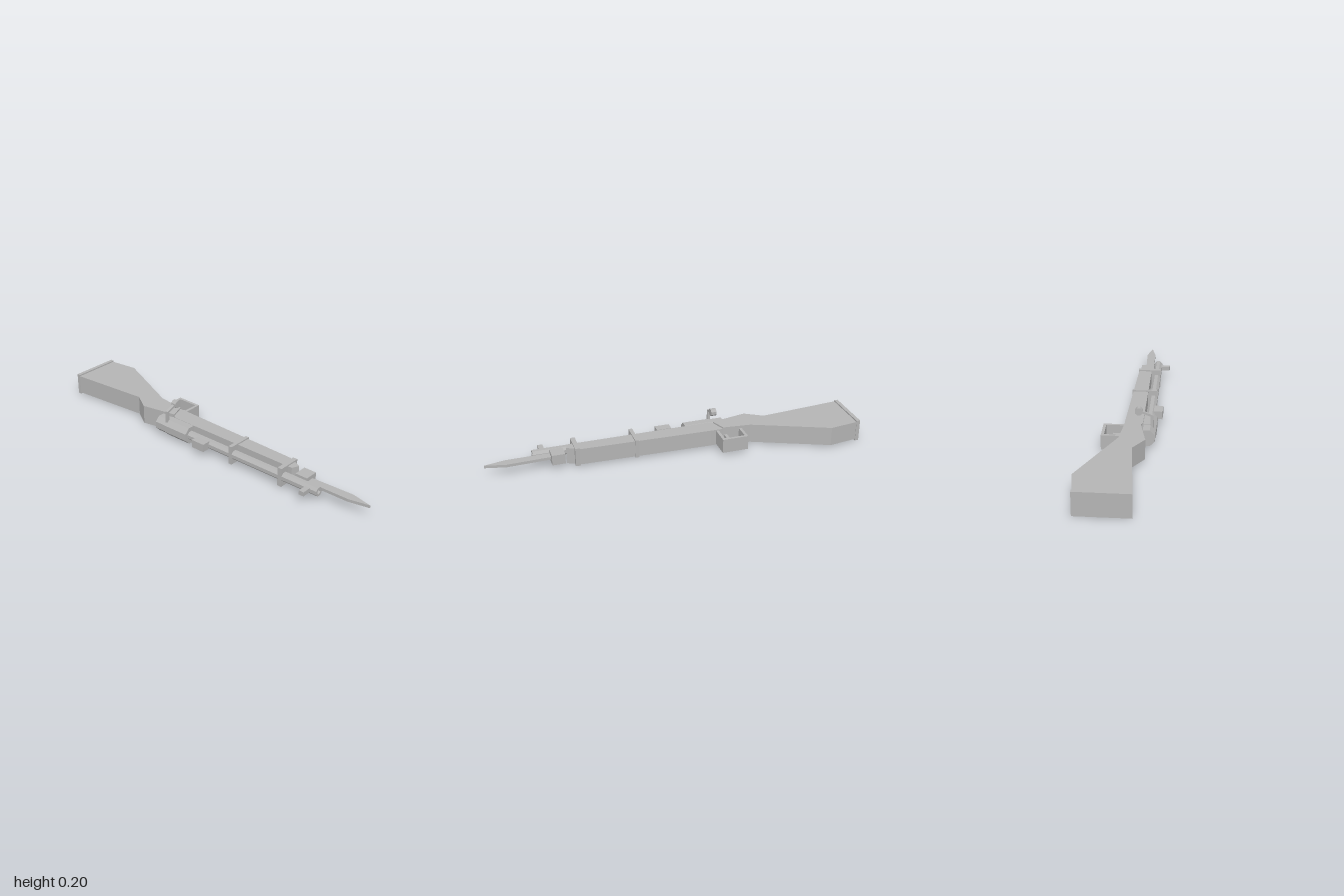
import * as THREE from 'three';

export function createModel() {
  const root = new THREE.Group();
  const grey = new THREE.MeshStandardMaterial({ color: 0xb4b4b4, flatShading: true });
  grey.name = 'plain grey';

  const add = (name, geo) => {
    const mesh = new THREE.Mesh(geo, grey);
    mesh.name = name;
    root.add(mesh);
    return mesh;
  };
  // Box from its limits
  const box = (name, x0, x1, y0, y1, z0, z1) =>
    add(name, new THREE.BoxGeometry(x1 - x0, y1 - y0, z1 - z0)
      .translate((x0 + x1) / 2, (y0 + y1) / 2, (z0 + z1) / 2));
  // Flat outline in x and z, given thickness from y0 to y1
  const slab = (name, pts, y0, y1, hole) => {
    const shape = new THREE.Shape(pts.map(p => new THREE.Vector2(...p)));
    if (hole) shape.holes.push(new THREE.Path(hole.map(p => new THREE.Vector2(...p))));
    const geo = new THREE.ExtrudeGeometry(shape, { depth: y1 - y0, bevelEnabled: false });
    return add(name, geo.rotateX(Math.PI / 2).translate(0, y1, 0));
  };
  // Eight-sided bar along z, with flats facing the axes
  const octBar = (name, x, y, z0, z1, apothem) => {
    const r = apothem / Math.cos(Math.PI / 8);
    return add(name, new THREE.CylinderGeometry(r, r, z1 - z0, 8)
      .rotateY(Math.PI / 8).rotateX(Math.PI / 2).translate(x, y, (z0 + z1) / 2));
  };

  // Wooden body: butt with wrist, and the long fore-end
  slab('buttStock', [[-0.10, -0.985], [0.165, -0.985], [0.187, -0.823], [0.015, -0.42],
    [0, -0.27], [-0.08, -0.24], [-0.118, -0.435], [-0.06, -0.53]], 0.008, 0.113);
  slab('foreEnd', [[0, -0.275], [0, -0.2], [-0.02, 0.5], [-0.055, 0.577],
    [-0.092, 0.56], [-0.092, -0.22], [-0.078, -0.25]], 0.015, 0.105);
  box('buttPlate', -0.10, 0.168, 0, 0.12, -1, -0.98);

  // Hollow barrel
  const outer = 0.025, bore = 0.014;
  add('barrel', new THREE.LatheGeometry([
    [0, -0.1], [outer, -0.1], [outer, 0.745], [bore, 0.745], [bore, 0.70], [0, 0.70],
  ].map(p => new THREE.Vector2(...p)), 8)
    .rotateY(Math.PI / 8).rotateX(Math.PI / 2).translate(-0.12, 0.06, 0));

  // Receiver and rear bolt housing
  octBar('receiver', -0.114, 0.06, -0.235, -0.085, 0.046);
  octBar('boltHousing', -0.114, 0.06, -0.305, -0.235, 0.043);

  // Bolt handle: upright stem, slanted arm and knob
  box('boltStem', -0.145, -0.131, 0.07, 0.158, -0.243, -0.228);
  const arm = add('boltArm', new THREE.BoxGeometry(0.075, 0.011, 0.013));
  arm.position.set(-0.105, 0.166, -0.235);
  arm.rotation.z = 0.36;
  octBar('boltKnob', -0.072, 0.177, -0.25, -0.22, 0.019);

  // Bands that hold the barrel to the fore-end
  box('frontBand', -0.143, -0.017, 0.01, 0.112, 0.512, 0.537);
  box('middleBand', -0.143, -0.006, 0.01, 0.112, 0.198, 0.218);

  // Sights
  box('rearSight', -0.182, -0.135, 0.04, 0.083, -0.02, 0.06);
  box('frontSight', -0.19, -0.135, 0.05, 0.073, 0.677, 0.705);

  // Trigger guard frame and trigger
  slab('triggerGuard', [[-0.01, -0.372], [0.107, -0.372], [0.107, -0.23], [-0.01, -0.23]],
    0.021, 0.099, [[0, -0.357], [0.092, -0.357], [0.092, -0.245], [0, -0.245]]);
  box('trigger', -0.01, 0.055, 0.05, 0.07, -0.292, -0.275);

  // Bayonet
  box('bayonetMount', -0.099, -0.026, 0.032, 0.088, 0.588, 0.658);
  slab('bayonetBlade', [[-0.095, 0.65], [-0.052, 0.65], [-0.044, 0.89], [-0.07, 1], [-0.093, 0.89]],
    0.053, 0.068);

  return root;
}
